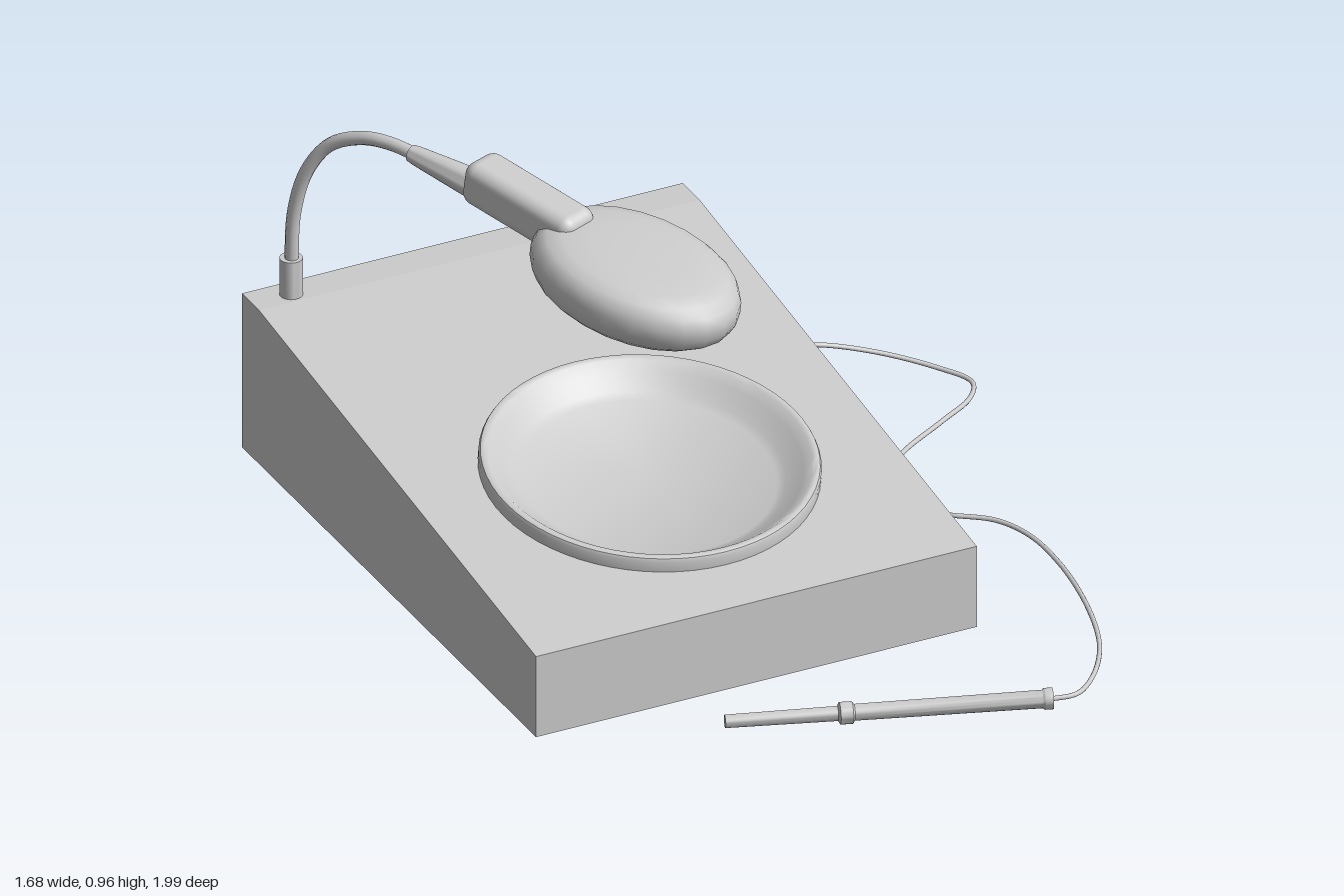
import * as THREE from 'three';
import { toCreasedNormals } from 'three/addons/utils/BufferGeometryUtils.js';
import { RoundedBoxGeometry } from 'three/addons/geometries/RoundedBoxGeometry.js';

const grey = new THREE.MeshStandardMaterial({ color: 0xcccccc, side: THREE.DoubleSide });
const v = (p) => new THREE.Vector3(...p);

function add(parent, name, geometry) {
  const mesh = new THREE.Mesh(geometry, grey);
  mesh.name = name;
  parent.add(mesh);
  return mesh;
}

// Profile is a list of [radius, height], bottom to top
function lathe(profile, segments = 24) {
  const pts = profile.map(([r, y]) => new THREE.Vector2(r, y));
  return toCreasedNormals(new THREE.LatheGeometry(pts, segments), 0.7);
}

// Turned part whose axis starts at a point and runs along a direction
function turned(parent, name, start, dir, profile) {
  const mesh = add(parent, name, lathe(profile));
  mesh.position.copy(v(start));
  mesh.quaternion.setFromUnitVectors(new THREE.Vector3(0, 1, 0), v(dir).normalize());
  return mesh;
}

function tube(parent, name, points, radius, segments) {
  const curve = new THREE.CatmullRomCurve3(points.map(v));
  return add(parent, name, new THREE.TubeGeometry(curve, segments, radius, 10));
}

const L = -0.84, R = 0.33;
const FRONT = 0.55, RIDGE = -0.91, LOW = 0.23, HIGH = 0.43;
const SLOPE = Math.atan((HIGH - LOW) / (FRONT - RIDGE));

// Wedge housing; the sloping panel is separate because it has the dish opening
function housingGeometry() {
  const side = [[FRONT, 0.01], [FRONT, LOW], [RIDGE, HIGH], [-1, HIGH], [-1, 0.01]];
  const pos = [];
  const at = (x, i) => [x, side[i][1], side[i][0]];
  for (const i of [0, 2, 3, 4]) {
    const j = (i + 1) % 5;
    pos.push(...at(L, i), ...at(R, i), ...at(R, j), ...at(L, i), ...at(R, j), ...at(L, j));
  }
  for (let i = 1; i < 4; i++) {
    pos.push(...at(L, 0), ...at(L, i), ...at(L, i + 1));
    pos.push(...at(R, 0), ...at(R, i + 1), ...at(R, i));
  }
  const g = new THREE.BufferGeometry();
  g.setAttribute('position', new THREE.Float32BufferAttribute(pos, 3));
  g.computeVertexNormals();
  return g;
}

function buildBase(root) {
  const base = new THREE.Group();
  base.name = 'base';
  root.add(base);
  add(base, 'housing', housingGeometry());

  // Tilted frame centred on the dish
  const cx = -0.257, cz = -0.01;
  const panel = new THREE.Group();
  panel.name = 'slopingPanel';
  panel.position.set(cx, LOW + (FRONT - cz) * Math.tan(SLOPE), cz);
  panel.rotation.x = SLOPE;
  base.add(panel);

  const c = Math.cos(SLOPE), near = -(FRONT - cz) / c, far = (cz - RIDGE) / c;
  const shape = new THREE.Shape([[L - cx, near], [R - cx, near], [R - cx, far], [L - cx, far]]
    .map(([x, y]) => new THREE.Vector2(x, y)));
  shape.holes.push(new THREE.Path().absarc(0, 0, 0.4, 0, Math.PI * 2, true));
  add(panel, 'topPlate', new THREE.ShapeGeometry(shape, 48).rotateX(-Math.PI / 2));

  // Raised rim falling in a concave curve to a flat floor
  add(panel, 'dish', lathe([
    [0.408, -0.005], [0.408, 0.028], [0.404, 0.036], [0.396, 0.039], [0.386, 0.036],
    [0.365, 0.018], [0.345, 0.002], [0.325, -0.013], [0.305, -0.025], [0, -0.028],
  ], 64));
}

function buildLamp(root) {
  const lamp = new THREE.Group();
  lamp.name = 'lamp';
  root.add(lamp);

  turned(lamp, 'lampSocket', [-0.737, 0.425, -0.945], [0, 1, 0],
    [[0.028, 0], [0.028, 0.105], [0, 0.105]]);
  tube(lamp, 'gooseneck', [
    [-0.737, 0.5, -0.945], [-0.732, 0.66, -0.938], [-0.71, 0.78, -0.912], [-0.67, 0.86, -0.87],
    [-0.62, 0.9, -0.8], [-0.58, 0.908, -0.735], [-0.54, 0.901, -0.66],
  ], 0.017, 40);
  turned(lamp, 'taperedCollar', [-0.552, 0.903, -0.68], [0.09, -0.025, 0.17],
    [[0, 0], [0.021, 0], [0.024, 0.02], [0.036, 0.17], [0.036, 0.22], [0, 0.22]]);

  // Yawed to point over the dish, nose pitched down
  const aim = (mesh, yaw, pitch) => mesh.rotation.set(pitch, yaw, 0, 'YXZ');
  const block = add(lamp, 'lampNeck', new RoundedBoxGeometry(0.115, 0.115, 0.34, 4, 0.032));
  block.position.set(-0.405, 0.888, -0.355);
  aim(block, 0.38, 0.14);

  // Oval head with rounded rim
  const oval = lathe([
    [0, -0.075], [0.45, -0.074], [0.72, -0.07], [0.86, -0.06], [0.95, -0.042], [1, -0.015],
    [1, 0.015], [0.96, 0.042], [0.87, 0.06], [0.72, 0.071], [0.45, 0.076], [0, 0.078],
  ], 24);
  oval.scale(0.2, 1, 0.285);
  const head = add(lamp, 'lampHead', toCreasedNormals(oval, 1));
  head.position.set(-0.27, 0.805, -0.058);
  aim(head, 0.38, 0.12);
}

function buildConnectors(root) {
  const out = [1, 0, 0];
  turned(root, 'largeJack', [0.328, 0.113, -0.9], out,
    [[0.03, 0], [0.03, 0.025], [0.021, 0.028], [0.021, 0.08], [0.014, 0.08], [0.014, 0.03], [0, 0.03]]);
  turned(root, 'smallJack', [0.328, 0.113, -0.787], out,
    [[0.023, 0], [0.023, 0.018], [0.018, 0.02], [0.018, 0.033], [0.012, 0.033], [0.012, 0.01], [0, 0.01]]);
  turned(root, 'cablePlug', [0.328, 0.113, -0.685], out,
    [[0.022, 0], [0.022, 0.065], [0.013, 0.067], [0.012, 0.11], [0, 0.11]]);
}

function buildPen(root) {
  const y = 0.031;
  tube(root, 'cable', [
    [0.43, 0.113, -0.685], [0.52, 0.103, -0.68], [0.66, 0.07, -0.635], [0.78, 0.04, -0.55],
    [0.83, y, -0.47], [0.79, y, -0.4], [0.68, y, -0.33], [0.52, y, -0.23], [0.44, y, -0.13],
    [0.433, y, -0.04], [0.48, y, 0.06], [0.58, y, 0.145], [0.62, y, 0.24], [0.625, y, 0.4],
    [0.59, y, 0.62], [0.53, y, 0.8], [0.45, y, 0.92], [0.38, y, 0.975], [0.31, y, 0.968],
  ], 0.006, 140);

  // Pen from tip to cable end, with a grip ring and an end cap
  turned(root, 'pen', [-0.423, y, 0.717], [0.74, 0, 0.25], [
    [0, 0], [0.016, 0], [0.018, 0.27], [0.027, 0.275], [0.027, 0.305], [0.02, 0.31],
    [0.022, 0.76], [0.026, 0.765], [0.026, 0.785], [0.016, 0.785], [0.016, 0.775], [0, 0.775],
  ]);
}

export function createModel() {
  const root = new THREE.Group();
  root.name = 'deskInstrument';
  buildBase(root);
  buildLamp(root);
  buildConnectors(root);
  buildPen(root);
  return root;
}
